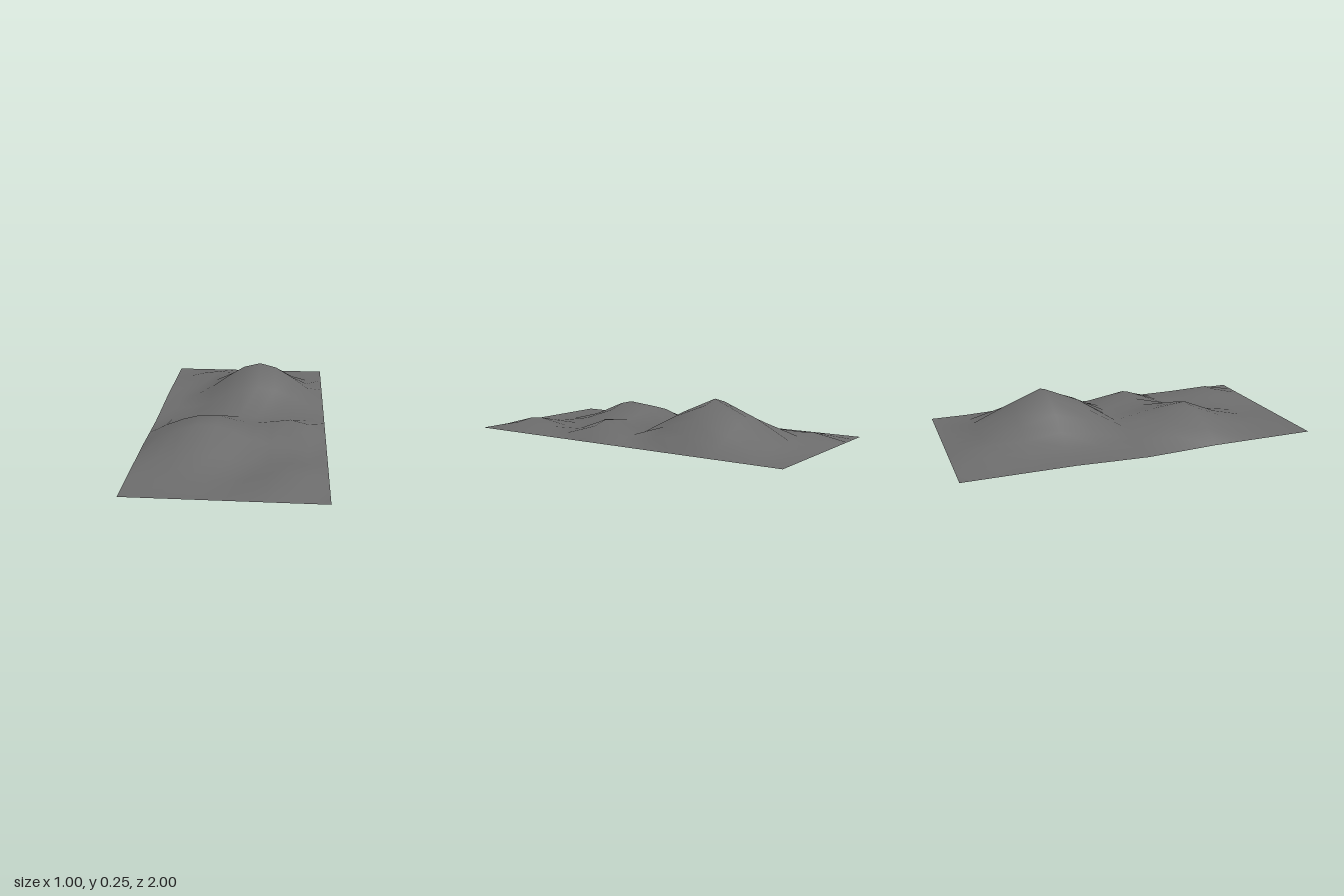
import * as THREE from 'three';

const BASE = 0.012;

// Hills raised from the flat sheet: centre x, centre z, height, radius
const HILLS = [
  [0.1, -0.4, 0.238, 0.49],    // main peak
  [-0.15, 0.33, 0.145, 0.45],  // second hill
  [0.3, 0.2, 0.097, 0.3],      // side knoll
  [0.3, 0.8, 0.053, 0.32],     // low front mound
  [-0.2, -0.8, 0.05, 0.3],     // low back mound
];

// Smooth falloff from 1 at the centre to 0 at the radius
const falloff = (d, r) => 1 - THREE.MathUtils.smoothstep(d, 0, r);

function heightAt(x, z) {
  // The rim stays flat, apart from a slight sag in the middle of one long edge
  if (x < -0.499) return BASE - BASE * falloff(Math.abs(z), 0.42);
  if (x > 0.499 || Math.abs(z) > 0.999) return BASE;
  return HILLS.reduce(
    (y, [hx, hz, h, r]) => y + h * falloff(Math.hypot(x - hx, z - hz), r), BASE);
}

export function createModel() {
  const group = new THREE.Group();
  group.name = 'hillyTerrain';

  // Coarse grid sheet displaced into hills, with smooth normals
  const geometry = new THREE.PlaneGeometry(1, 2, 10, 10).rotateX(-Math.PI / 2);
  const pos = geometry.attributes.position;
  for (let i = 0; i < pos.count; i++) {
    pos.setY(i, heightAt(pos.getX(i), pos.getZ(i)));
  }
  geometry.computeVertexNormals();

  const terrain = new THREE.Mesh(geometry, new THREE.MeshStandardMaterial({
    color: 0x6c6c6c, side: THREE.DoubleSide,
  }));
  terrain.name = 'terrain';
  group.add(terrain);
  return group;
}
